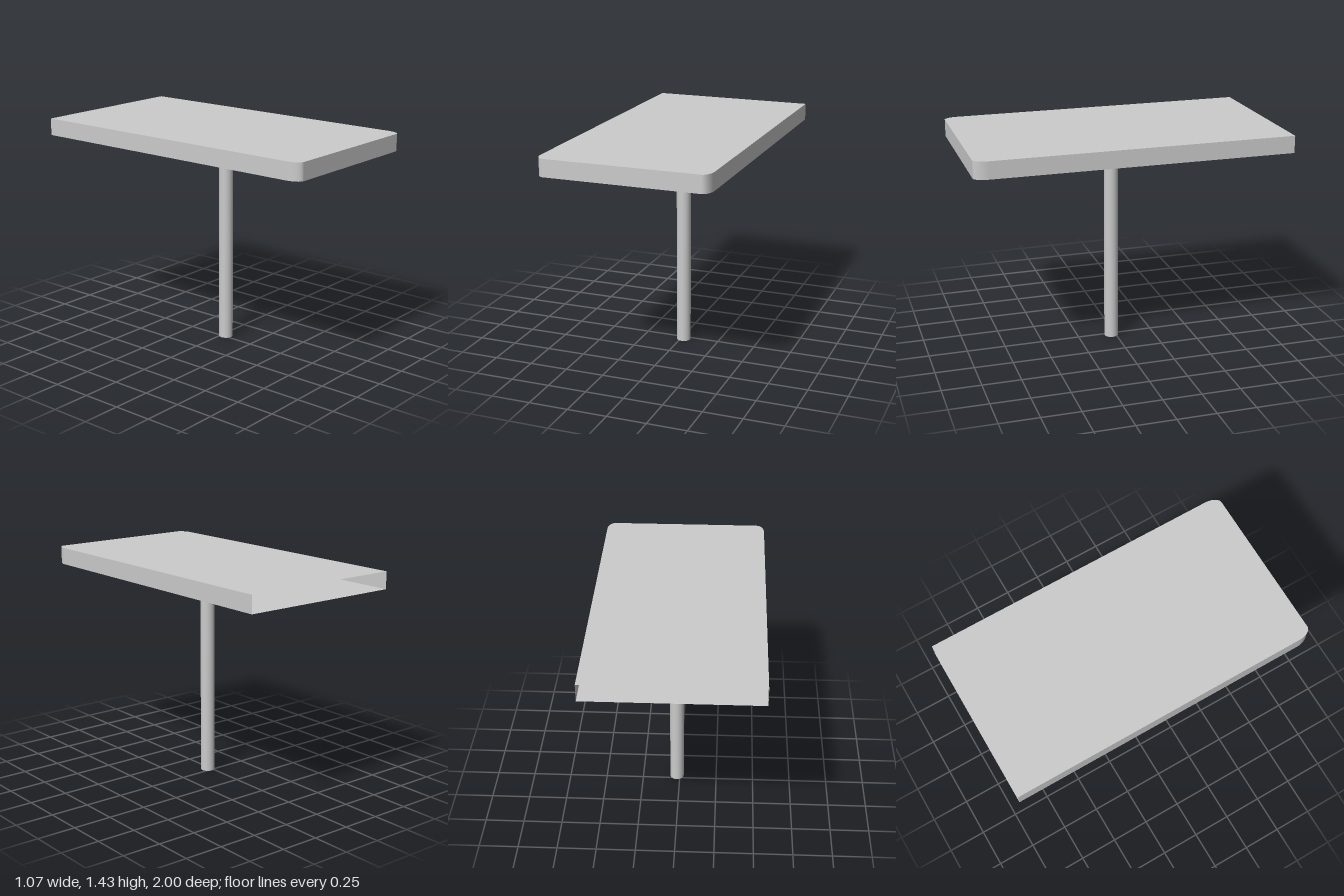
import * as THREE from 'three';

const HALF_W = 0.535, BACK = -1, FRONT = 1;
const BOTTOM = 1.32, TOP = 1.43;
const CORNER_X = 0.05, CORNER_Z = 0.09, STEPS = 10;

// Outline of the slab as (x, z): back edge, round the front, to the other back edge
function slabOutline() {
  const points = [new THREE.Vector2(-HALF_W, BACK)];
  for (const side of [-1, 1]) {
    for (let i = 0; i <= STEPS; i++) {
      const a = (side < 0 ? i : STEPS - i) / STEPS * Math.PI / 2;
      points.push(new THREE.Vector2(
        side * (HALF_W - CORNER_X + CORNER_X * Math.cos(a)),
        FRONT - CORNER_Z + CORNER_Z * Math.sin(a)));
    }
  }
  points.push(new THREE.Vector2(HALF_W, BACK));
  return points;
}

// Upright band that follows the outline and stays open at the back
function wallGeometry(points) {
  const positions = [], index = [];
  points.forEach((p, i) => {
    positions.push(p.x, BOTTOM, p.y, p.x, TOP, p.y);
    if (i === points.length - 1) return;
    const b = 2 * i;
    index.push(b, b + 2, b + 1, b + 1, b + 2, b + 3);
  });
  const geometry = new THREE.BufferGeometry();
  geometry.setAttribute('position', new THREE.Float32BufferAttribute(positions, 3));
  geometry.setIndex(index);
  geometry.computeVertexNormals();
  return geometry;
}

export function createModel() {
  const model = new THREE.Group();
  model.name = 'table';
  const material = new THREE.MeshStandardMaterial({ color: 0xcccccc, side: THREE.DoubleSide });

  const add = (name, geometry, parent) => {
    const mesh = new THREE.Mesh(geometry, material);
    mesh.name = name;
    parent.add(mesh);
    return mesh;
  };

  // Hollow table top
  const tableTop = new THREE.Group();
  tableTop.name = 'tableTop';
  model.add(tableTop);
  const outline = slabOutline();
  const flipped = outline.map(p => new THREE.Vector2(p.x, -p.y));
  add('topPanel', new THREE.ShapeGeometry(new THREE.Shape(flipped)).rotateX(-Math.PI / 2), tableTop).position.y = TOP;
  add('bottomPanel', new THREE.ShapeGeometry(new THREE.Shape(outline)).rotateX(Math.PI / 2), tableTop).position.y = BOTTOM;
  add('rim', wallGeometry(outline), tableTop);

  // Single tubular leg, open at the foot and slightly off centre
  const leg = add('leg', new THREE.CylinderGeometry(0.046, 0.046, BOTTOM, 32, 1, true), model);
  leg.position.set(0.019, BOTTOM / 2, 0.029);

  return model;
}
